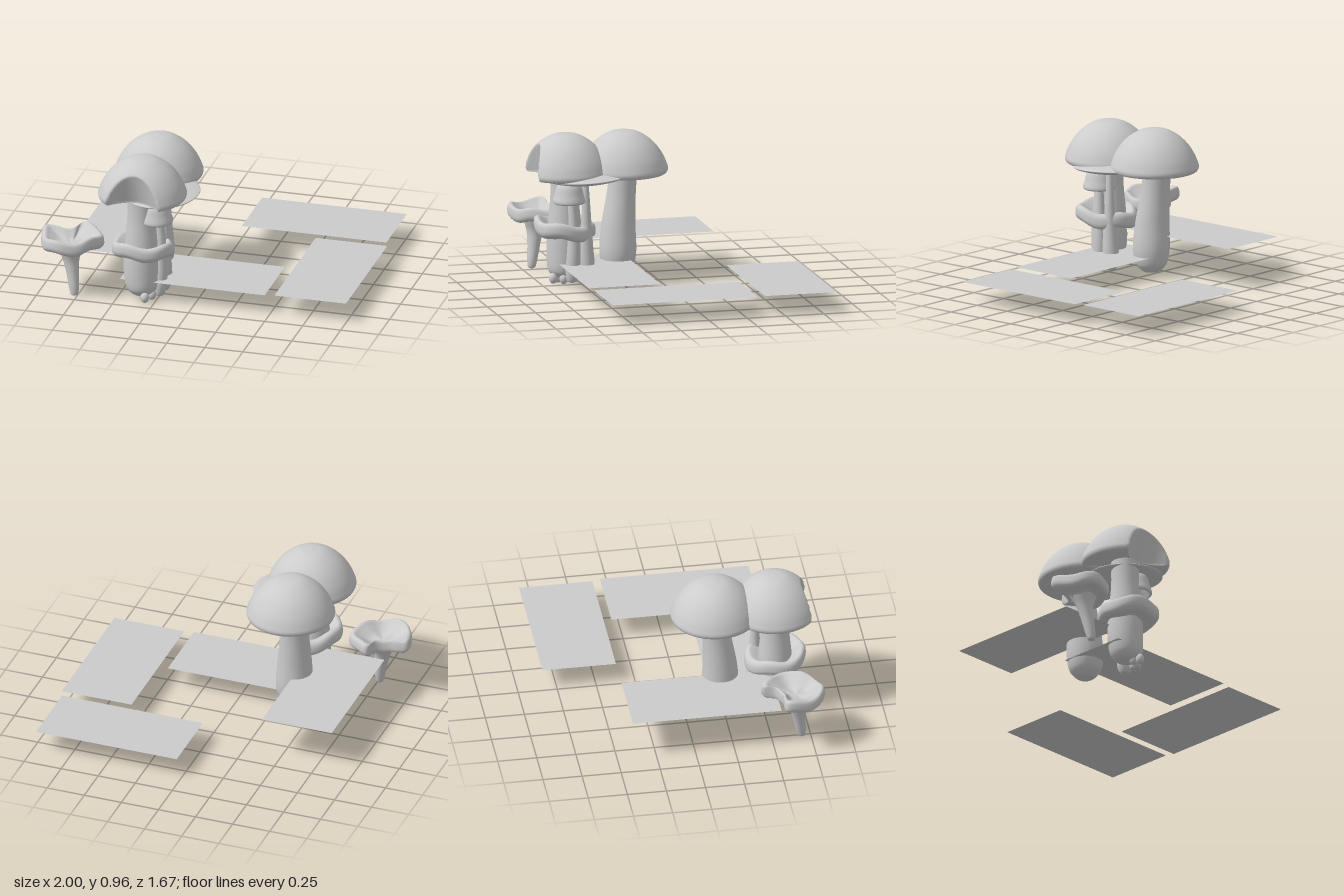
import * as THREE from 'three';

const V = (x, y, z) => new THREE.Vector3(x, y, z);
const material = new THREE.MeshStandardMaterial({ color: 0xcccccc, side: THREE.DoubleSide });

// Skin through closed loops of points, listed from bottom to top
function skin(loops) {
  const n = loops[0].length, index = [];
  for (let i = 0; i < loops.length - 1; i++) {
    for (let j = 0; j < n; j++) {
      const k = (j + 1) % n, a = i * n, b = a + n;
      index.push(a + j, b + j, a + k, a + k, b + j, b + k);
    }
  }
  const g = new THREE.BufferGeometry().setFromPoints(loops.flat());
  g.setIndex(index);
  g.computeVertexNormals();
  return g;
}

// Stalk along a curve; each point is [x, y, z, radius], with a rounded foot
function stalk(points) {
  const path = new THREE.CatmullRomCurve3(points.map(p => V(p[0], p[1], p[2])));
  const radius = new THREE.CatmullRomCurve3(points.map((p, i) => V(i, p[3], 0)));
  const loops = [], rows = 36, sides = 28;
  for (let i = 0; i <= rows; i++) {
    const t = (i / rows) ** 1.5;
    const c = path.getPoint(t), r = Math.max(radius.getPoint(t).y, 0.001);
    loops.push(Array.from({ length: sides }, (_, j) => {
      const a = j / sides * Math.PI * 2;
      return V(c.x + r * Math.cos(a), c.y, c.z + r * Math.sin(a));
    }));
  }
  return skin(loops);
}

// Smooth turned shape from a few [radius, y] points, underside first
function turned(points, rows = 40, sides = 56) {
  const curve = new THREE.CatmullRomCurve3(points.map(p => V(p[0], p[1], 0)), false, 'centripetal');
  const profile = curve.getPoints(rows).map(p => new THREE.Vector2(Math.max(p.x, 0), p.y));
  return new THREE.LatheGeometry(profile, sides);
}

// Funnel cap with a rolled rim: an outline scaled through a [scale, y] section
function funnelCap(outline, centre, section, lift) {
  const rim = new THREE.CatmullRomCurve3(outline.map(p => V(p[0], 0, p[1])), true).getSpacedPoints(72).slice(0, 72);
  const rows = new THREE.CatmullRomCurve3(section.map(p => V(p[0], p[1], 0))).getPoints(36);
  return skin(rows.map(r => rim.map(p => {
    const dx = (p.x - centre[0]) * r.x, dz = (p.z - centre[1]) * r.x;
    return V(centre[0] + dx, r.y + lift(dx, dz) * r.x, centre[1] + dz);
  })));
}

export function createModel() {
  const model = new THREE.Group();
  const add = (name, geometry, x = 0, y = 0, z = 0) => {
    const mesh = new THREE.Mesh(geometry, material);
    mesh.name = name;
    mesh.position.set(x, y, z);
    model.add(mesh);
    return mesh;
  };

  // Two large domed caps
  const dome = [[0, 0.02], [0.1, 0.015], [0.2, 0.005], [0.268, -0.008], [0.281, 0.015], [0.272, 0.05],
    [0.25, 0.1], [0.205, 0.165], [0.15, 0.215], [0.08, 0.252], [0, 0.263]];
  add('rearCap', turned(dome), -0.35, 0.7, 0.2);

  // Front cap has a scoop taken out of its front edge
  const scooped = turned(dome, 64, 112);
  const p = scooped.attributes.position;
  for (let i = 0; i < p.count; i++) {
    const side = Math.min(1.1, Math.abs(p.getX(i) + 0.01) / 0.17);
    const limit = 0.11 + 0.1 * side * side + 0.3 * Math.max(p.getY(i), 0);
    p.setZ(i, Math.min(p.getZ(i), limit));
  }
  scooped.computeVertexNormals();
  add('frontCap', scooped, -0.35, 0.7, 0.58);

  // Thick stems
  add('rearStem', stalk([[-0.36, 0.02, 0.235, 0], [-0.36, 0.03, 0.235, 0.05], [-0.36, 0.08, 0.235, 0.098],
    [-0.36, 0.18, 0.235, 0.117], [-0.365, 0.35, 0.23, 0.108], [-0.37, 0.55, 0.21, 0.092], [-0.37, 0.74, 0.19, 0.088]]));
  add('frontStem', stalk([[-0.35, 0.025, 0.59, 0], [-0.35, 0.035, 0.59, 0.06], [-0.35, 0.08, 0.59, 0.1],
    [-0.355, 0.18, 0.585, 0.113], [-0.355, 0.35, 0.585, 0.108], [-0.355, 0.55, 0.585, 0.09], [-0.355, 0.74, 0.585, 0.09]]));

  // Thin flat cap tucked under the front cap
  const flat = add('flatCap', turned([[0, -0.035], [0.12, -0.03], [0.2, -0.015], [0.235, -0.003], [0.24, 0.004],
    [0.22, 0.012], [0.12, 0.03], [0, 0.035]]), -0.25, 0.686, 0.47);
  flat.scale.z = 1.04;
  flat.rotation.set(0.04, 0, 0.05);

  // Small bell cap
  add('bellCap', turned([[0, 0.63], [0.045, 0.61], [0.075, 0.56], [0.094, 0.53], [0.104, 0.54],
    [0.092, 0.59], [0.075, 0.645], [0.05, 0.67], [0, 0.68]]), -0.257, 0, 0.58);

  // Slender stalks beside the front stem
  add('bellStalk', stalk([[-0.245, 0.015, 0.565, 0], [-0.245, 0.025, 0.565, 0.03], [-0.242, 0.1, 0.56, 0.046],
    [-0.237, 0.25, 0.555, 0.042], [-0.235, 0.42, 0.56, 0.03], [-0.25, 0.64, 0.575, 0.022]]));
  add('flatStalk', stalk([[-0.24, 0.015, 0.47, 0], [-0.24, 0.025, 0.47, 0.03], [-0.24, 0.09, 0.47, 0.052],
    [-0.238, 0.25, 0.475, 0.045], [-0.235, 0.42, 0.475, 0.032], [-0.24, 0.68, 0.48, 0.02]]));

  // Buds at the foot of the clump
  for (const [x, z] of [[-0.31, 0.67], [-0.33, 0.635], [-0.28, 0.61]]) {
    const bud = add('bud', new THREE.SphereGeometry(0.027, 20, 14), x, 0.038, z);
    bud.scale.y = 1.3;
  }

  // Wavy funnel cap around the front stem
  const round = Array.from({ length: 14 }, (_, i) => {
    const a = i / 14 * Math.PI * 2, r = 0.197 + 0.006 * Math.sin(3 * a);
    return [-0.34 + r * Math.cos(a), 0.592 + r * Math.sin(a)];
  });
  const wave = (dx, dz) => 0.012 * Math.sin(4 * Math.atan2(dz, dx));
  add('collarCap', funnelCap(round, [-0.34, 0.592], [[0.3, 0.28], [0.6, 0.3], [0.88, 0.305], [0.99, 0.335],
    [0.98, 0.375], [0.86, 0.4], [0.7, 0.385], [0.45, 0.35], [0.1, 0.33], [0, 0.33]],
    (dx, dz) => 0.13 * dz + wave(dx, dz)));

  // Separate funnel mushroom with an indented back edge
  const notched = [[-0.6, 0.58], [-0.62, 0.67], [-0.7, 0.78], [-0.83, 0.83], [-0.93, 0.79], [-0.985, 0.69],
    [-1, 0.56], [-0.95, 0.55], [-0.87, 0.55], [-0.8, 0.51], [-0.77, 0.43], [-0.68, 0.48]];
  add('funnelCap', funnelCap(notched, [-0.8, 0.65], [[0.2, 0.26], [0.4, 0.305], [0.65, 0.325], [0.9, 0.325], [0.995, 0.355],
    [0.97, 0.395], [0.86, 0.41], [0.7, 0.39], [0.4, 0.355], [0, 0.345]],
    (dx, dz) => wave(dx, dz)));
  add('funnelStem', stalk([[-0.765, 0.005, 0.69, 0], [-0.766, 0.015, 0.69, 0.022], [-0.77, 0.06, 0.685, 0.032],
    [-0.785, 0.17, 0.67, 0.042], [-0.797, 0.25, 0.66, 0.055], [-0.8, 0.32, 0.65, 0.085]]));

  // Level rectangular panels: centre x, height, centre z, width, depth
  for (const [x, y, z, w, d] of [[0.505, 0.135, -0.605, 0.95, 0.47], [0.765, 0.135, 0.155, 0.47, 0.95],
    [-0.005, 0.135, 0.41, 0.95, 0.47], [-0.615, 0.265, 0.075, 0.47, 0.95]]) {
    add('panel', new THREE.PlaneGeometry(w, d).rotateX(-Math.PI / 2), x, y, z);
  }
  return model;
}
